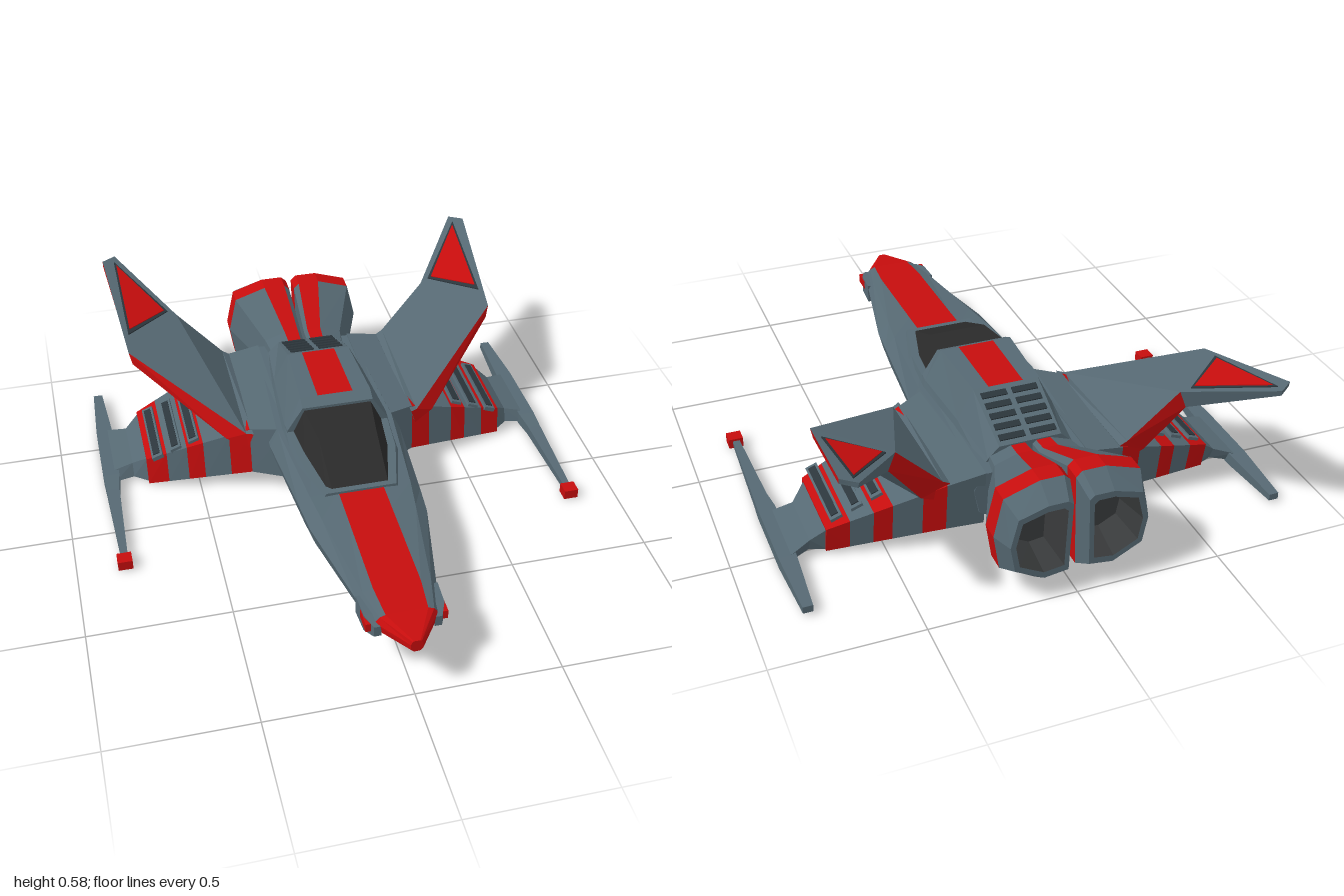
import * as THREE from 'three';

const paint = (name, color) => {
  const m = new THREE.MeshStandardMaterial({ color });
  m.name = name;
  return m;
};

export function createModel() {
  const model = new THREE.Group();
  model.name = 'starfighter';
  const grey = paint('slate grey', 0x566973);
  const red = paint('red', 0xc60d0d);
  const glass = paint('canopy black', 0x2a2a2a);
  const dark = paint('vent dark', 0x2c363c);
  const soot = paint('nozzle soot', 0x383a3b);
  const mats = [grey, red, glass, dark, soot];
  const GREY = 0, RED = 1, GLASS = 2, DARK = 3, SOOT = 4;

  // Closed, faceted skin through rings of points; pick(i, j) colours face j of segment i
  function loft(name, rings, pick = () => GREY, endColor = GREY) {
    const tris = mats.map(() => []);
    const n = rings[0].length;
    for (let i = 0; i < rings.length - 1; i++) {
      for (let j = 0; j < n; j++) {
        const k = (j + 1) % n, [a, b, c, d] = [rings[i][j], rings[i][k], rings[i + 1][k], rings[i + 1][j]];
        tris[pick(i, j)].push([a, b, c], [a, c, d]);
      }
    }
    const cap = (ring, flip, color) => {
      const mid = [0, 1, 2].map(q => ring.reduce((s, p) => s + p[q], 0) / n);
      ring.forEach((p, j) => {
        const r = ring[(j + 1) % n];
        tris[color].push(flip ? [mid, r, p] : [mid, p, r]);
      });
    };
    cap(rings[0], true, pick(0, 0));
    cap(rings[rings.length - 1], false, endColor);
    // Signed volume tells whether the skin is inside out
    const vol = tris.flat().reduce((s, [a, b, c]) => s +
      a[0] * (b[1] * c[2] - b[2] * c[1]) + a[1] * (b[2] * c[0] - b[0] * c[2]) + a[2] * (b[0] * c[1] - b[1] * c[0]), 0);
    const geo = new THREE.BufferGeometry(), pos = [];
    tris.forEach((list, m) => {
      if (!list.length) return;
      geo.addGroup(pos.length / 3, list.length * 3, m);
      list.forEach(([a, b, c]) => pos.push(...a, ...(vol < 0 ? [...c, ...b] : [...b, ...c])));
    });
    geo.setAttribute('position', new THREE.Float32BufferAttribute(pos, 3));
    geo.computeVertexNormals();
    const mesh = new THREE.Mesh(geo, mats);
    mesh.name = name;
    model.add(mesh);
  }

  function box(name, mat, size, at, rx = 0, rz = 0) {
    const mesh = new THREE.Mesh(new THREE.BoxGeometry(...size), mat);
    mesh.position.set(...at);
    mesh.rotation.set(rx, 0, rz);
    mesh.name = name;
    model.add(mesh);
  }

  // Symmetric ring at z from its right half, listed top to bottom
  const ringZ = (z, half) => [
    ...half.map(([x, y]) => [x, y, z]),
    ...[...half].reverse().map(([x, y]) => [-x, y, z]),
  ];

  // Hull, with the red nose stripe as its top face
  loft('hull', [
    ringZ(1, [[.01, .25], [.015, .247], [.02, .235], [.02, .215], [.01, .205]]),
    ringZ(.88, [[.07, .262], [.09, .255], [.105, .235], [.1, .205], [.06, .185]]),
    ringZ(.76, [[.08, .267], [.115, .258], [.135, .23], [.125, .19], [.06, .16]]),
    ringZ(.4, [[.08, .278], [.165, .27], [.207, .235], [.19, .17], [.08, .12]]),
    ringZ(.28, [[.08, .282], [.18, .276], [.217, .235], [.2, .16], [.085, .11]]),
    ringZ(-.1, [[.08, .285], [.215, .285], [.247, .22], [.225, .14], [.1, .07]]),
    ringZ(-.66, [[.08, .28], [.19, .28], [.22, .22], [.2, .13], [.1, .075]]),
  ], (i, j) => (j === 9 && i < 4) || (i === 0 && [0, 1, 2, 6, 7, 8].includes(j)) ? RED : GREY);

  // Cockpit sill, canopy and the fairing behind it
  loft('canopySill', [
    ringZ(.295, [[.125, .29], [.14, .26]]),
    ringZ(.1, [[.175, .298], [.195, .26]]),
    ringZ(-.1, [[.19, .305], [.205, .26]]),
  ]);
  loft('canopy', [
    ringZ(.28, [[.1, .288], [.12, .28]]),
    ringZ(.09, [[.105, .375], [.158, .28]]),
    ringZ(-.08, [[.125, .392], [.178, .28]]),
  ], () => GLASS, GLASS);
  loft('fairing', [
    ringZ(-.06, [[.065, .4], [.13, .4], [.187, .31], [.195, .26]]),
    ringZ(-.1, [[.065, .42], [.13, .42], [.19, .31], [.205, .26]]),
    ringZ(-.38, [[.062, .42], [.117, .42], [.172, .31], [.185, .26]]),
    ringZ(-.6, [[.06, .33], [.11, .33], [.15, .29], [.168, .26]]),
  ], (i, j) => i === 1 && j === 7 ? RED : GREY);

  // Slotted grille on the fairing's rear slope
  for (let row = 0; row < 5; row++) {
    const z = -.412 - row * .04;
    for (const x of [-.055, .055]) {
      box('grilleSlot', dark, [.09, .008, .023], [x, .421 + (z + .38) * .409, z], -Math.atan(.409));
    }
  }

  // Outline shared by every ring of an engine, taken from its centre
  const engineShape = [[-.12, .165], [-.1, .185], [-.02, .185], [.1, .145], [.13, .01], [.11, -.115], [-.01, -.185], [-.11, -.17]];
  const wingTop = x => .235 - (x - .385) * .377;
  const finTop = (x, z) => .46 + .27 * (x - .7) - .258 * (z + .47);

  for (const s of [1, -1]) {
    const side = s > 0 ? 'left' : 'right';
    const named = part => side + part;

    // Engine: flared barrel, red band, open nozzle
    const engineRing = (z, cx, cy, sx, sy) => engineShape.map(([x, y]) => [s * (cx + x * sx), cy + y * sy, z]);
    loft(named('Engine'), [
      engineRing(-.58, .08, .205, .6, .64),
      engineRing(-.66, .085, .207, .66, .68),
      engineRing(-.865, .13, .235, 1, 1),
      engineRing(-.93, .13, .235, 1, 1),
      engineRing(-1, .125, .235, .82, .74),
      engineRing(-1, .125, .235, .68, .62),
      engineRing(-.88, .125, .235, .5, .45),
    ], (i, j) => i === 5 ? SOOT : i === 2 || (i < 2 && j === 1) ? RED : GREY, SOOT);

    // Lower wing, banded along its span
    const wingRing = (x, zf, zr, top, bot) => [
      [s * x, top, zf - .02], [s * x, bot, zf], [s * x, bot, zr + .02], [s * x, top, zr],
    ];
    const spans = [.31, .385, .48, .54, .615, .69].map(x => {
      const t = (x - .31) / .38;
      return wingRing(x, -.14 - .095 * t, -.66 + .1 * t, x < .35 ? .265 : wingTop(x), .08 - .06 * t);
    });
    loft(named('Wing'), [wingRing(.18, -.08, -.665, .285, .075), ...spans], i => i % 2 ? RED : GREY, RED);
    loft(named('WingTip'), [
      wingRing(.685, -.245, -.555, .118, .022),
      wingRing(.74, -.29, -.53, .07, .02),
      wingRing(.81, -.285, -.56, .052, .012),
    ]);

    // Louvres on the wing's upper face
    for (const x of [.51, .578, .648]) {
      const tilt = -s * Math.atan(.377);
      box(named('LouvreFrame'), grey, [.042, .016, .31], [s * x, wingTop(x) + .003, -.385], 0, tilt);
      box(named('LouvreSlot'), dark, [.026, .006, .28], [s * (x + .003), wingTop(x) + .011, -.385], 0, tilt);
    }

    // Upper fin: red leading edge and red root at the trailing edge
    const flip = pts => pts.map(([x, y, z]) => [s * x, y, z]);
    loft(named('Fin'), [
      flip([[.3, .262, -.13], [.3, .27, -.655], [.32, .2, -.645], [.32, .2, -.14]]),
      flip([[.325, .258, -.145], [.325, .285, -.658], [.395, .228, -.645], [.395, .225, -.175]]),
      flip([[.7, .46, -.47], [.49, .46, -.69], [.515, .395, -.69], [.69, .415, -.46]]),
      flip([[.735, .588, -.935], [.685, .585, -.97], [.688, .565, -.965], [.735, .568, -.93]]),
    ], (i, j) => j === 3 || (j === 1 && i < 2) ? RED : GREY);

    // Inset panel on the fin's upper face
    const panel = (name, pts, lift, color) => loft(named(name), [lift, lift - .008].map(h =>
      flip(pts.map(([x, z]) => [x, finTop(x, z) + h, z]))), () => color, color);
    panel('FinPanelRim', [[.692, -.935], [.522, -.7], [.688, -.56]], .004, DARK);
    panel('FinPanel', [[.685, -.915], [.535, -.7], [.68, -.585]], .007, RED);

    // Wing-tip cannon with a red muzzle
    const rodRing = (z, cx, hx, y0, y1) => [[cx - hx, y0], [cx + hx, y0], [cx + hx, y1], [cx - hx, y1]]
      .map(([x, y]) => [s * x, y, z]);
    loft(named('Cannon'), [
      rodRing(.17, .829, .012, .02, .04),
      rodRing(-.2, .828, .024, .012, .048),
      rodRing(-.28, .825, .03, .008, .052),
      rodRing(-.56, .823, .03, .008, .052),
      rodRing(-.81, .823, .017, .02, .044),
    ]);
    box(named('CannonMuzzle'), red, [.052, .036, .05], [s * .83, .03, .185]);

    // Nose gun in its blister
    loft(named('NoseGunHousing'), [
      rodRing(.9, .1, .012, .195, .235),
      rodRing(.85, .113, .02, .18, .245),
      rodRing(.76, .118, .019, .175, .245),
    ]);
    box(named('NoseGun'), red, [.024, .032, .07], [s * .124, .222, .85]);
  }
  return model;
}
